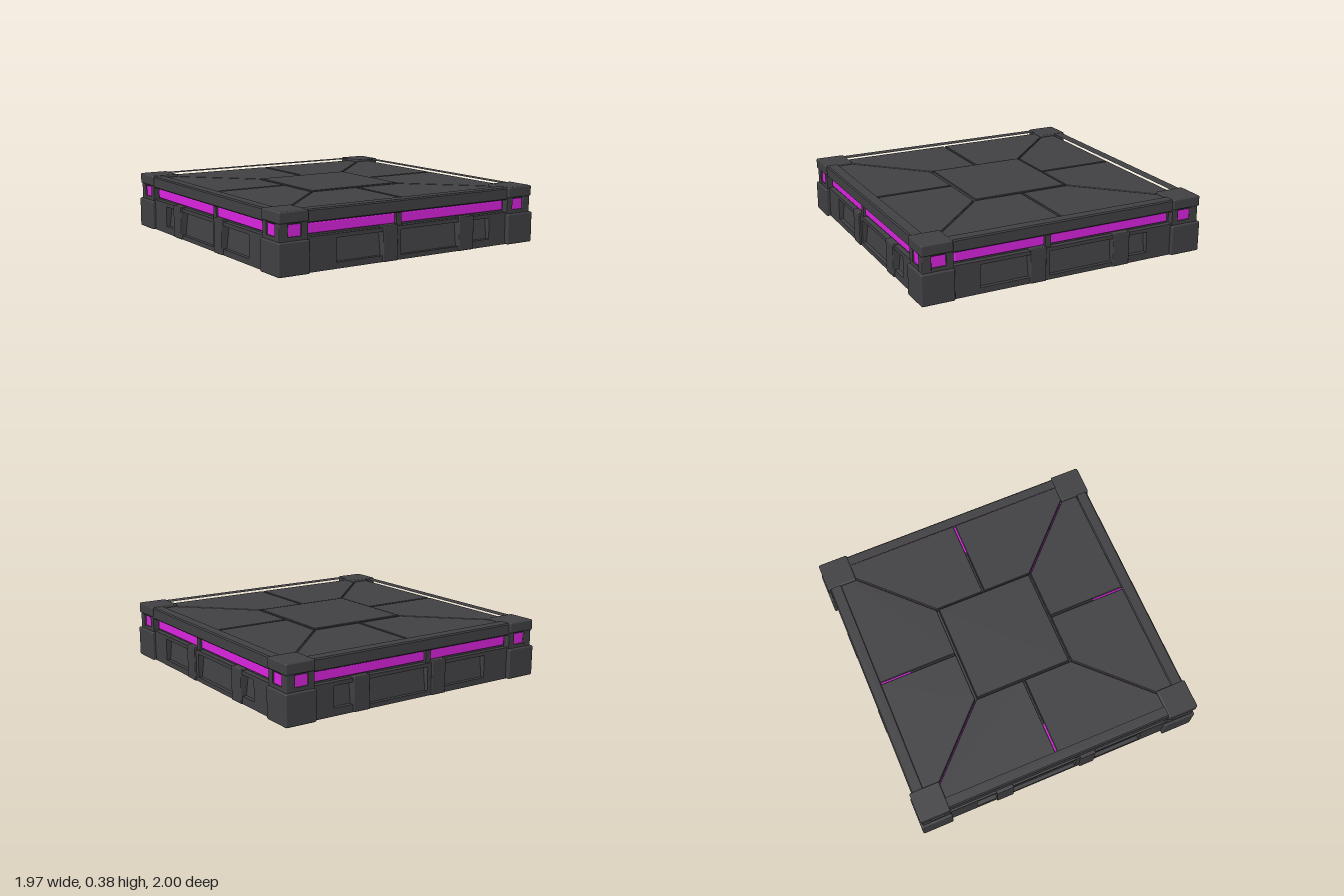
import * as THREE from 'three';
import { RoundedBoxGeometry } from 'three/addons/geometries/RoundedBoxGeometry.js';

const material = (name, color) => Object.assign(new THREE.MeshStandardMaterial({ color }), { name });

export function createModel() {
  const model = new THREE.Group();
  model.name = 'floorTile';
  const metal = material('dark metal', 0x414144);
  const glow = material('magenta glow', 0xdc24e0);
  const HX = 0.965, HZ = 0.975; // half sizes of the walls

  const add = (name, geometry, mat, x = 0, y = 0, z = 0) => {
    const mesh = new THREE.Mesh(geometry, mat);
    mesh.name = name;
    mesh.position.set(x, y, z);
    model.add(mesh);
    return mesh;
  };
  // Box from its minimum and maximum corners, optionally with softened edges
  const block = (name, mat, x0, x1, y0, y1, z0, z1, r = 0) => {
    const s = [Math.abs(x1 - x0), y1 - y0, Math.abs(z1 - z0)];
    const g = r ? new RoundedBoxGeometry(...s, 2, r) : new THREE.BoxGeometry(...s);
    return add(name, g, mat, (x0 + x1) / 2, (y0 + y1) / 2, (z0 + z1) / 2);
  };
  // Flat outline in x and z, extruded upwards from y0 to y1 with a bevel
  const slab = (name, mat, points, y0, y1, bevel, hole) => {
    const toShape = (p) => p.map(([x, z]) => new THREE.Vector2(x, -z));
    const shape = new THREE.Shape(toShape(points));
    if (hole) shape.holes.push(new THREE.Path(toShape(hole)));
    const g = new THREE.ExtrudeGeometry(shape, {
      depth: y1 - y0 - 2 * bevel, bevelEnabled: true, bevelThickness: bevel,
      bevelSize: bevel, bevelOffset: -bevel, bevelSegments: 1,
    });
    g.rotateX(-Math.PI / 2);
    return add(name, g, mat, 0, y0 + bevel, 0);
  };
  const rect = (x, z) => [[-x, -z], [x, -z], [x, z], [-x, z]];

  // Solid core and the bed under the top panels
  block('core', metal, -0.91, 0.91, 0, 0.22, -0.92, 0.92);
  block('panelBed', metal, -0.89, 0.89, 0.22, 0.325, -0.9, 0.9);

  // The four sides; opposite sides mirror each other
  const recesses = [[-0.57, -0.23, 0.04], [-0.09, 0.37, 0.03], [0.49, 0.63, 0.05]];
  for (const onX of [false, true]) {
    for (const s of [-1, 1]) {
      const half = onX ? HX : HZ;
      const shift = onX ? -0.035 : 0;
      // u runs along the side, d is the distance inwards from the wall face
      const part = (name, mat, u0, u1, y0, y1, d0, d1, r) => {
        const a = s * (half - d0), b = s * (half - d1);
        return onX ? block(name, mat, a, b, y0, y1, -u0, -u1, r)
          : block(name, mat, u0, u1, y0, y1, a, b, r);
      };
      let start = -0.8;
      for (const [a, b, low] of recesses) {
        const u0 = a + shift, u1 = b + shift;
        part('wall', metal, start, u0, 0, 0.215, 0.005, 0.07);
        part('recessSill', metal, u0, u1, 0, low, 0.005, 0.07);
        part('recessLintel', metal, u0, u1, 0.19, 0.215, 0.005, 0.07);
        // Leaning back plate of the recess
        const plate = part('recessBack', metal, u0, u1, 0.02, 0.2, 0.04, 0.055);
        if (onX) plate.rotation.z = s * 0.12;
        else plate.rotation.x = -s * 0.12;
        start = u1;
      }
      part('wall', metal, start, 0.8, 0, 0.215, 0.005, 0.07);
      // Raised ribs between the recesses
      part('rib', metal, -0.23 + shift, -0.12 + shift, 0, 0.228, -0.006, 0.07, 0.006);
      part('rib', metal, 0.37 + shift, 0.49 + shift, 0, 0.222, -0.006, 0.07, 0.006);
      // Light strips with a dark divider
      part('lightStrip', glow, -0.765, -0.12 + shift, 0.228, 0.296, 0.025, 0.08, 0.01);
      part('lightStrip', glow, -0.08 + shift, 0.765, 0.228, 0.296, 0.025, 0.08, 0.01);
      part('lightDivider', metal, -0.12 + shift, -0.08 + shift, 0.21, 0.31, 0.015, 0.08);
      part('lightBacking', metal, -0.8, 0.8, 0.2, 0.31, 0.04, 0.09);
    }
  }

  // Corner blocks, glowing corner lamps and corner caps
  for (const sx of [-1, 1]) {
    for (const sz of [-1, 1]) {
      const corner = (name, mat, xi, xo, y0, y1, zi, zo, r) =>
        block(name, mat, sx * xi, sx * xo, y0, y1, sz * zi, sz * zo, r);
      corner('cornerBlock', metal, 0.77, 0.985, 0, 0.205, 0.78, 1, 0.01);
      corner('cornerPost', metal, 0.775, 0.95, 0.2, 0.32, 0.785, 0.965);
      corner('cornerCap', metal, 0.775, 0.978, 0.312, 0.384, 0.785, 0.993, 0.01);
      corner('cornerFrame', metal, 0.91, 0.97, 0.2, 0.32, 0.925, 0.985, 0.006);
      for (const [a, b] of [[0.775, 0.82]]) {
        corner('lampFrame', metal, a, b, 0.2, 0.32, 0.93, 0.982);
        corner('lampFrame', metal, 0.915, 0.968, 0.2, 0.32, a + 0.01, b + 0.01);
      }
      corner('lampSill', metal, 0.775, 0.968, 0.2, 0.23, 0.785, 0.982);
      corner('cornerLamp', glow, 0.82, 0.912, 0.23, 0.312, 0.93, 0.974);
      corner('cornerLamp', glow, 0.915, 0.959, 0.23, 0.312, 0.83, 0.925);
    }
  }

  // Chamfered rim around the top
  slab('rim', metal, rect(HX, HZ + 0.003), 0.298, 0.38, 0.008, rect(0.9, 0.908));

  // Centre plate and eight panels around it
  slab('centrePlate', metal, rect(0.345, 0.338), 0.32, 0.372, 0.004);
  const gap = 0.007;
  for (let q = 0; q < 4; q++) {
    for (const m of [-1, 1]) {
      const outline = [[gap, 0.354], [0.354 - gap, 0.354], [0.899 - gap, 0.899], [gap, 0.899]];
      const panel = slab('topPanel', metal, outline.map(([x, z]) => [m * x, z]), 0.32, 0.367, 0.003);
      panel.rotation.y = q * Math.PI / 2;
    }
    // Light showing at the outer end of each straight seam
    const seam = block('seamLight', glow, -gap, gap, 0.325, 0.355, 0.68, 0.895);
    seam.position.set(0, 0.34, 0.787).applyAxisAngle(new THREE.Vector3(0, 1, 0), q * Math.PI / 2);
    seam.rotation.y = q * Math.PI / 2;
    // Thin light along each diagonal seam
    const angle = Math.PI / 4 + q * Math.PI / 2;
    const diagonal = add('diagonalSeamLight', new THREE.BoxGeometry(0.005, 0.02, 0.74), glow);
    diagonal.position.set(Math.sin(angle) * 0.885, 0.335, Math.cos(angle) * 0.885);
    diagonal.rotation.y = angle;
  }
  return model;
}
